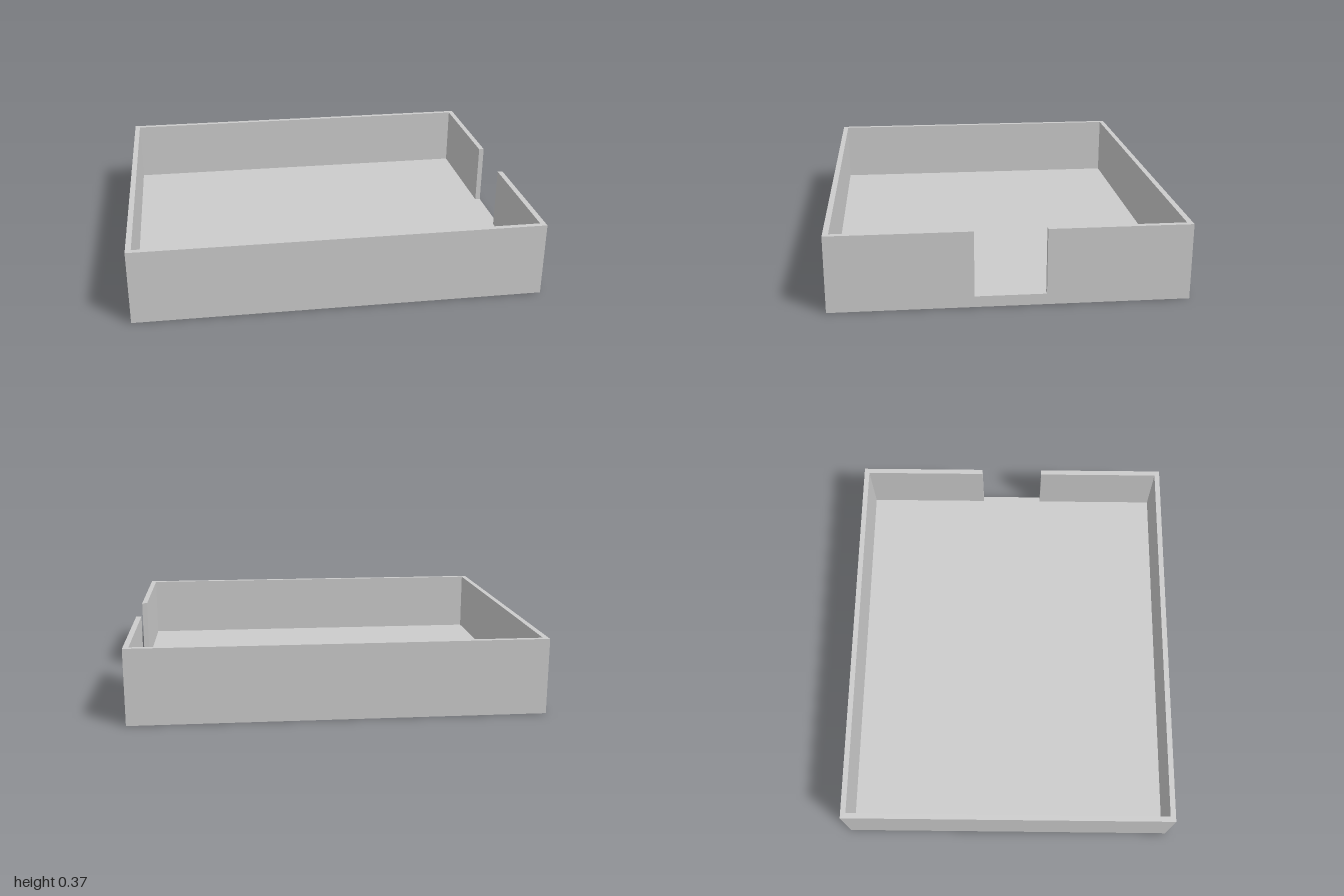
import * as THREE from 'three';

const W = 1, D = 0.843;        // half width and half depth
const HEIGHT = 0.37, FLOOR = 0.053, WALL = 0.027;
const GAP = 0.168;             // half width of the opening in the left wall

export function createModel() {
  const group = new THREE.Group();
  group.name = 'openTray';
  const material = new THREE.MeshStandardMaterial({ color: 0xcccccc, flatShading: true });

  // Floor slab
  const floor = new THREE.Mesh(new THREE.BoxGeometry(2 * W, FLOOR, 2 * D), material);
  floor.name = 'floor';
  floor.position.y = FLOOR / 2;
  group.add(floor);

  // Rim: one C-shaped outline, open at the +x side down to the floor
  const w = W - WALL, d = D - WALL;
  const outline = new THREE.Shape([
    [W, GAP], [W, D], [-W, D], [-W, -D], [W, -D], [W, -GAP],
    [w, -GAP], [w, -d], [-w, -d], [-w, d], [w, d], [w, GAP],
  ].map(([x, y]) => new THREE.Vector2(x, y)));
  const rimGeometry = new THREE.ExtrudeGeometry(outline, { depth: HEIGHT - FLOOR, bevelEnabled: false });
  rimGeometry.rotateX(-Math.PI / 2);
  const rim = new THREE.Mesh(rimGeometry, material);
  rim.name = 'walls';
  rim.position.y = FLOOR;
  group.add(rim);

  return group;
}
